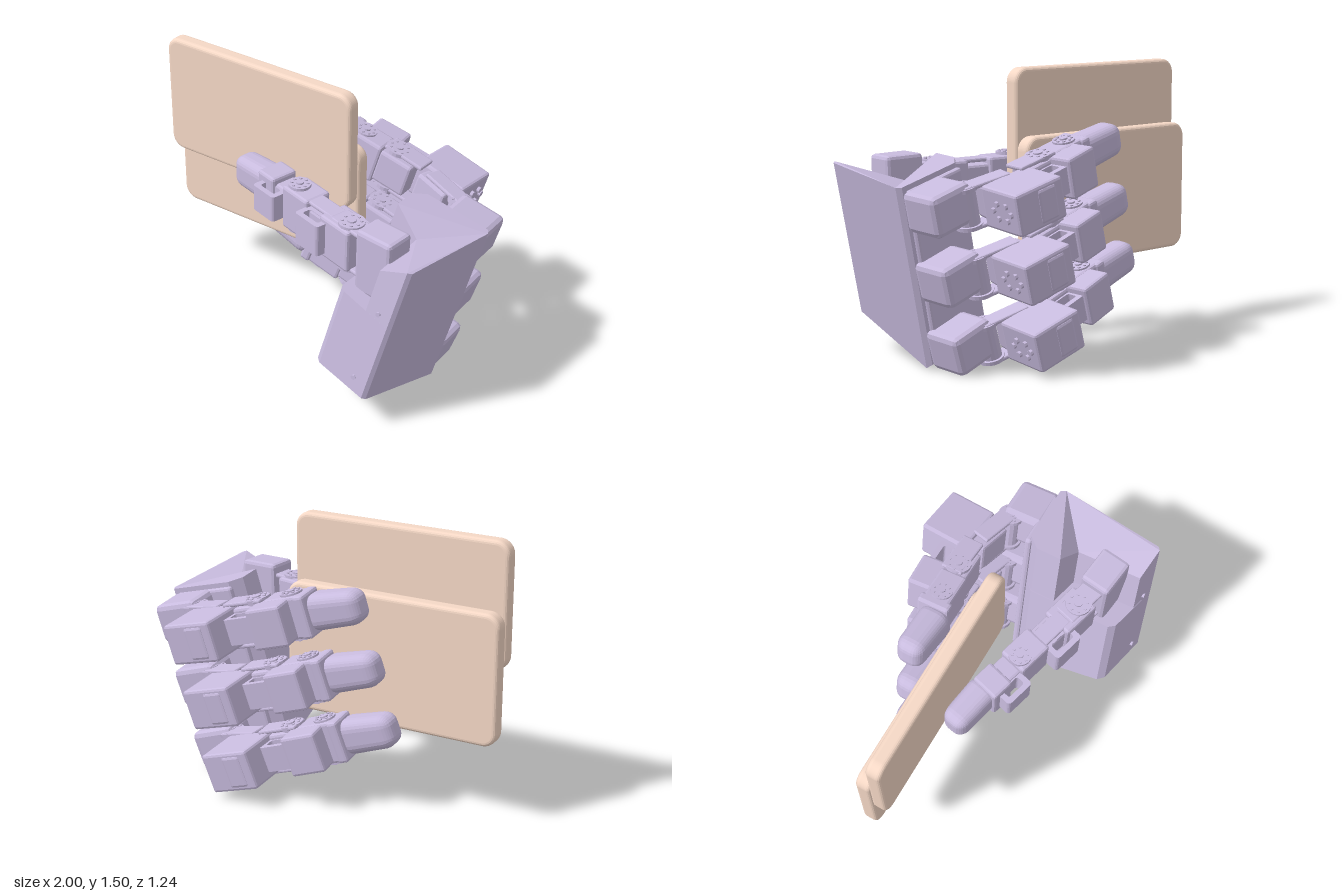
import * as THREE from 'three';
import { RoundedBoxGeometry } from 'three/addons/geometries/RoundedBoxGeometry.js';

const lilac = new THREE.MeshStandardMaterial({ color: 0xc8bbde, flatShading: true });
const tan = new THREE.MeshStandardMaterial({ color: 0xf5d8c6 });

function add(parent, name, geo, x = 0, y = 0, z = 0, mat = lilac) {
  const m = new THREE.Mesh(geo, mat);
  m.name = name;
  m.position.set(x, y, z);
  parent.add(m);
  return m;
}

// Chamfered block
function block(parent, name, w, h, d, x, y, z, ry = 0, c = 0.015) {
  const m = add(parent, name, new RoundedBoxGeometry(w, h, d, 1, c), x, y, z);
  m.rotation.y = ry;
  return m;
}

function roundedRect(w, h, r, Type = THREE.Shape) {
  const s = new Type(), a = w / 2, b = h / 2;
  s.absarc(a - r, b - r, r, 0, Math.PI / 2);
  s.absarc(r - a, b - r, r, Math.PI / 2, Math.PI);
  s.absarc(r - a, r - b, r, Math.PI, Math.PI * 1.5);
  s.absarc(a - r, r - b, r, Math.PI * 1.5, Math.PI * 2);
  s.closePath();
  return s;
}

// Rounded slab, outline in XY
function slab(parent, name, w, h, d, x, y, z) {
  const b = 0.022;
  const geo = new THREE.ExtrudeGeometry(roundedRect(w - 2 * b, h - 2 * b, 0.055), {
    depth: d - 2 * b, bevelSize: b, bevelThickness: b, bevelSegments: 4, curveSegments: 8
  });
  geo.translate(0, 0, b - d / 2);
  add(parent, name, geo, x, y, z, tan).rotation.y = -0.06;
}

// Open bracket loop: a rectangle with a slot, extruded across the digit
function loop(parent, w, d, width, x, z) {
  const s = roundedRect(w, d, 0.02);
  s.holes.push(roundedRect(w - 0.06, d - 0.06, 0.012, THREE.Path));
  const geo = new THREE.ExtrudeGeometry(s, { depth: width, bevelEnabled: false, curveSegments: 2 });
  geo.translate(0, 0, -width / 2).rotateX(Math.PI / 2);
  add(parent, 'bracketLoop', geo, x, 0, z);
}

// Joint discs on both cheeks, with a hub ring and bolts
function joint(parent, x, z, width, r = 0.07) {
  const g = new THREE.Group();
  g.name = 'joint';
  g.position.set(x, 0, z);
  parent.add(g);
  add(g, 'axle', new THREE.CylinderGeometry(r * 0.8, r * 0.8, width, 16));
  for (const s of [-1, 1]) {
    add(g, 'disc', new THREE.CylinderGeometry(r, r, 0.02, 20), 0, s * width / 2, 0);
    add(g, 'hub', new THREE.CylinderGeometry(r * 0.35, r * 0.35, 0.03, 12), 0, s * (width / 2 + 0.004), 0);
    for (let i = 0; i < 8; i++) {
      const a = i * Math.PI / 4;
      add(g, 'bolt', new THREE.CylinderGeometry(0.009, 0.009, 0.026, 6),
        Math.cos(a) * r * 0.7, s * (width / 2 + 0.003), Math.sin(a) * r * 0.7);
    }
  }
}

// Pair of cheek plates joining two segments
function cheeks(parent, length, d, width, x, z, ry = 0) {
  for (const s of [-1, 1])
    block(parent, 'cheekPlate', length, 0.022, d, x, s * width / 2, z, ry, 0.008);
}

// Tapered fingertip pointing to -x
function fingertip(parent, length, width, d, x, z, ry = 0) {
  const geo = new RoundedBoxGeometry(length, width, d, 3, Math.min(width, d) * 0.36);
  const p = geo.attributes.position;
  for (let i = 0; i < p.count; i++) {
    const t = Math.max(0, -p.getX(i) / length);
    p.setY(i, p.getY(i) * (1 - 0.25 * t));
    p.setZ(i, p.getZ(i) * (1 - 0.25 * t));
  }
  add(parent, 'fingertip', geo, x, 0, z).rotation.y = ry;
}

// Circle of six bolts on a motor's rear face, axis along x
function boltCircle(parent, x, z, ry) {
  const g = new THREE.Group();
  g.name = 'motorBolts';
  g.position.set(x, 0, z);
  g.rotation.y = ry;
  parent.add(g);
  for (let i = 0; i < 6; i++) {
    const a = i * Math.PI / 3, geo = new THREE.CylinderGeometry(0.016, 0.016, 0.03, 8);
    add(g, 'bolt', geo.rotateZ(Math.PI / 2), 0, Math.sin(a) * 0.045, Math.cos(a) * 0.065);
  }
}

// One of the three fingers behind the slabs
function makeFinger() {
  const f = new THREE.Group();
  f.name = 'finger';
  block(f, 'knuckle', 0.26, 0.215, 0.23, 0.585, 0.03, -0.105, 0, 0.03);
  joint(f, 0.47, -0.175, 0.2);
  cheeks(f, 0.26, 0.1, 0.21, 0.37, -0.215, -0.28);
  block(f, 'proximalLink', 0.2, 0.18, 0.11, 0.3, 0, -0.23, -0.25);
  block(f, 'proximalMotor', 0.3, 0.22, 0.27, 0.3, 0, -0.405, -0.1);
  block(f, 'motorCap', 0.12, 0.18, 0.04, 0.27, 0, -0.53, -0.1);
  boltCircle(f, 0.452, -0.405, -0.1);
  joint(f, 0.02, -0.265, 0.23);
  cheeks(f, 0.24, 0.12, 0.23, 0.08, -0.27, -0.05);
  block(f, 'middleLink', 0.2, 0.19, 0.14, 0.05, 0, -0.26);
  block(f, 'middleMotor', 0.2, 0.22, 0.15, -0.1, 0, -0.375, 0.05);
  loop(f, 0.17, 0.12, 0.14, 0.07, -0.37);
  joint(f, -0.185, -0.255, 0.23, 0.06);
  block(f, 'distalLink', 0.22, 0.23, 0.15, -0.15, 0, -0.255);
  block(f, 'distalCollar', 0.06, 0.23, 0.18, -0.26, 0, -0.255);
  fingertip(f, 0.32, 0.195, 0.17, -0.415, -0.24, -0.06);
  return f;
}

// Thumb in front of the slabs
function makeThumb() {
  const t = new THREE.Group();
  t.name = 'thumb';
  block(t, 'thumbBase', 0.22, 0.36, 0.17, 0.01, 0, 0.01, 0.15, 0.02);
  cheeks(t, 0.26, 0.12, 0.23, -0.18, 0.02);
  joint(t, -0.21, 0.025, 0.25);
  block(t, 'proximalMotor', 0.22, 0.24, 0.17, -0.26, 0, 0.02);
  block(t, 'proximalLink', 0.18, 0.18, 0.14, -0.42, 0, 0.015);
  loop(t, 0.18, 0.11, 0.18, -0.41, 0.105);
  cheeks(t, 0.24, 0.1, 0.22, -0.43, 0.02);
  block(t, 'middleMotor', 0.2, 0.25, 0.16, -0.59, 0, 0.01);
  joint(t, -0.635, 0.015, 0.26, 0.06);
  block(t, 'middleLink', 0.14, 0.17, 0.13, -0.72, 0, 0.005);
  loop(t, 0.17, 0.11, 0.15, -0.77, 0.1);
  block(t, 'distalCollar', 0.13, 0.24, 0.16, -0.83, 0, 0.01);
  fingertip(t, 0.29, 0.2, 0.16, -0.99, 0, 0.07);
  return t;
}

// Palm slice: section given as [across, depth], raised between two heights, its ends shaped by a rule
function palmPart(parent, name, points, y0, y1, rule) {
  const shape = new THREE.Shape(points.map(([x, z]) => new THREE.Vector2(x, -z)));
  const geo = new THREE.ExtrudeGeometry(shape, { depth: y1 - y0, bevelEnabled: false });
  geo.rotateX(-Math.PI / 2).translate(0, y0, 0);
  const p = geo.attributes.position;
  for (let i = 0; i < p.count; i++) p.setY(i, rule(p.getX(i), p.getY(i), p.getZ(i)));
  geo.computeVertexNormals();
  add(parent, name, geo);
}

function makePalm() {
  const palm = new THREE.Group();
  palm.name = 'palm';
  const outer = [[0.6, 0.635], [0.62, 0.62], [0.726, 0.03], [0.71, 0]];
  // Underside rises towards the front
  palmPart(palm, 'lowerPalm', [[0.35, 0], [0.285, 0.06], [0.27, 0.53], [0.3, 0.565], ...outer], 0.19, 0.82,
    (x, y, z) => y > 0.5 ? y : z < 0.02 ? 0.215 : 0.19 + 0.14 * z / 0.6);
  // Upper part is notched for the thumb and slopes down beside it
  palmPart(palm, 'upperPalm', [[0.35, 0], [0.29, 0.06], [0.285, 0.2], [0.455, 0.24], [0.455, 0.6], ...outer], 0.82, 1.185,
    (x, y, z) => y > 1 && z > 0.22 && x < 0.6 ? y - 0.7 * (0.6 - x) : y);
  block(palm, 'backPlate', 0.36, 0.94, 0.04, 0.51, 0.69, -0.01);
  for (const [x, y] of [[0.52, 0.42], [0.53, 0.86]])
    add(palm, 'screw', new THREE.CylinderGeometry(0.013, 0.013, 0.02, 8).rotateX(Math.PI / 2), x, y, 0.618);
  block(palm, 'undersideLatch', 0.1, 0.04, 0.06, 0.38, 0.295, 0.47);
  return palm;
}

export function createModel() {
  const model = new THREE.Group();
  model.name = 'handHoldingSlabs';

  // Two overlapping slabs
  slab(model, 'frontSlab', 1.21, 0.68, 0.086, -0.395, 1.17, -0.078);
  slab(model, 'rearSlab', 1.21, 0.705, 0.088, -0.388, 0.805, -0.164);

  // Leaning palm with a row of three splayed fingers: [height, splay]
  const hand = new THREE.Group();
  hand.name = 'hand';
  hand.rotation.set(-0.06, 0, -0.253);
  hand.add(makePalm());
  for (const [y, splay] of [[0.325, -0.08], [0.68, -0.05], [1.035, -0.02]]) {
    const finger = makeFinger();
    finger.position.y = y;
    finger.rotation.z = splay;
    hand.add(finger);
  }
  model.add(hand);

  const thumb = makeThumb();
  thumb.position.set(0.62, 0.89, 0.36);
  thumb.rotation.set(0, -0.316, -0.025);
  model.add(thumb);
  return model;
}
